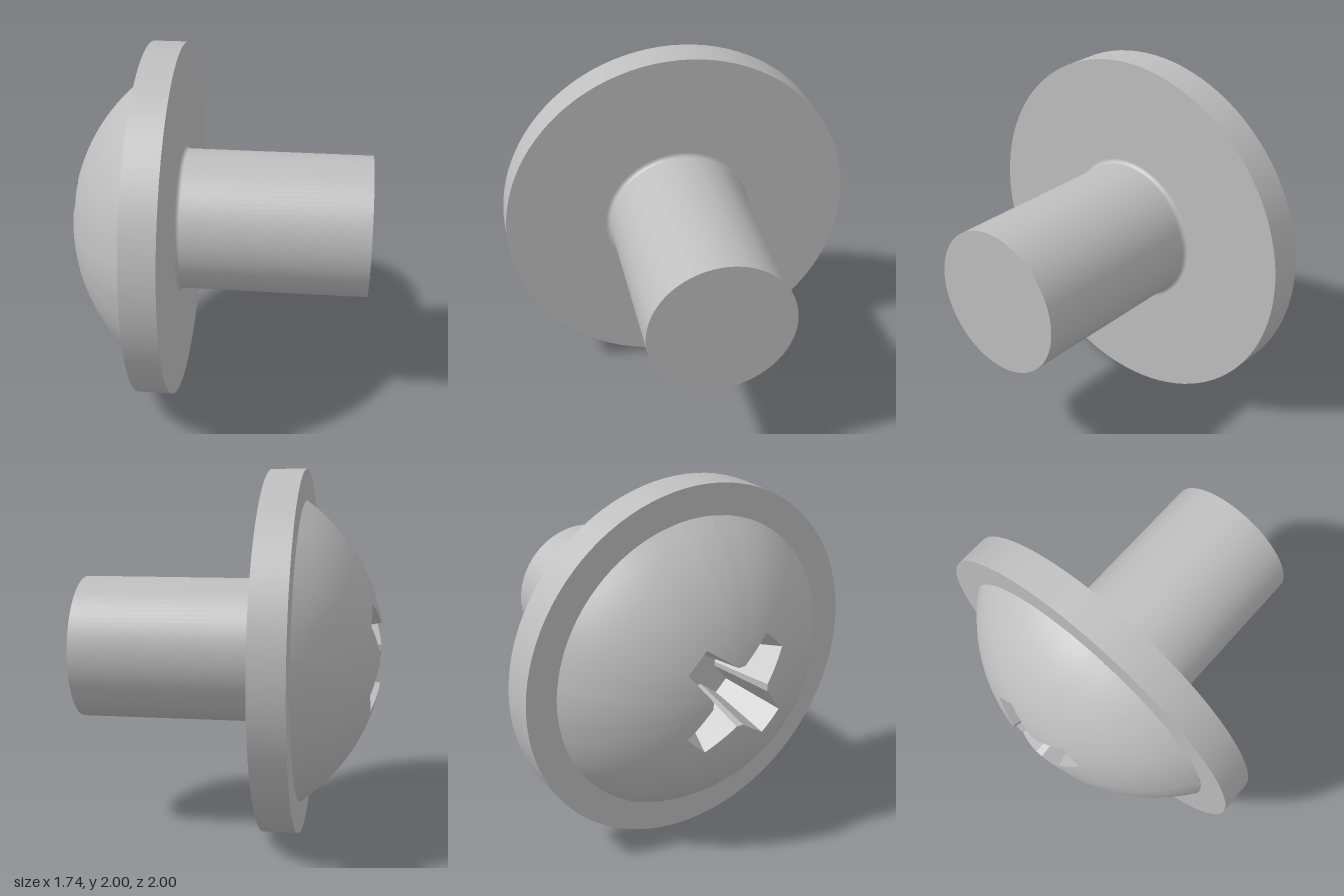
import * as THREE from 'three';

const R = 1.016, HEIGHT = 0.43, BASE = 0.83; // dome sphere, dome height, dome base radius
const FLANGE = 0.19, END = -1.25;            // flange thickness, shaft end
const FLOOR = 0.05, TAPER = 1.18;            // recess floor height and wall draft

const domeY = (r) => Math.sqrt(R * R - r * r) - (R - HEIGHT);

// Joins closed rings of equal length, from the innermost outwards
function loft(rings) {
  const n = rings[0].length, index = [];
  for (let k = 0; k < rings.length - 1; k++) {
    for (let i = 0; i < n; i++) {
      const j = (i + 1) % n;
      const a = k * n + i, b = k * n + j, c = a + n, d = b + n;
      index.push(a, b, c, b, d, c);
    }
  }
  const g = new THREE.BufferGeometry();
  g.setAttribute('position', new THREE.Float32BufferAttribute(rings.flat(2), 3));
  g.setIndex(index);
  return g;
}

// Cross-shaped recess outline with tapered arms on the diagonals
function crossOutline() {
  const corners = [];
  for (let q = 0; q < 4; q++) {
    for (let [x, z] of [[0.165, -0.02], [0.165, 0.02], [0.3, 0.19], [0.19, 0.3]]) {
      for (let t = 0; t < q; t++) [x, z] = [-z, x];
      corners.push([x, z]);
    }
  }
  const points = [];
  corners.forEach(([x, z], i) => {
    const [nx, nz] = corners[(i + 1) % corners.length];
    for (let s = 0; s < 6; s++) points.push([x + (nx - x) * s / 6, z + (nz - z) * s / 6]);
  });
  return points;
}

export function createModel() {
  const metal = new THREE.MeshStandardMaterial({ color: 0xbebebe });
  metal.name = 'grey metal';
  const screw = new THREE.Group();
  screw.name = 'screw';

  const add = (name, geometry) => {
    const mesh = new THREE.Mesh(geometry, metal);
    mesh.name = name;
    screw.add(mesh);
  };
  const revolve = (name, profile) =>
    add(name, new THREE.LatheGeometry(profile.map(([r, y]) => new THREE.Vector2(r, y)), 96));

  // Shaft with a small fillet where it meets the flange
  const fillet = 0.025, shaft = [[0.4, END]];
  for (let i = 0; i <= 6; i++) {
    const a = i / 6 * Math.PI / 2;
    shaft.push([0.4 + fillet * (1 - Math.cos(a)), -FLANGE - fillet * (1 - Math.sin(a))]);
  }
  revolve('shaftEnd', [[0, END], [0.4, END]]);
  revolve('shaft', shaft);

  // Flange
  revolve('flangeUnderside', [[0.4 + fillet, -FLANGE], [1, -FLANGE]]);
  revolve('flangeRim', [[1, -FLANGE], [1, 0]]);
  revolve('flangeTop', [[1, 0], [BASE, 0]]);

  // Recess edge: where the drafted walls meet the dome
  const outline = crossOutline();
  const rim = outline.map(([x, z]) => {
    let s = 1;
    for (let i = 0; i < 5; i++) s = 1 + TAPER * (domeY(s * Math.hypot(x, z)) - 0.39);
    return [x * s, domeY(s * Math.hypot(x, z)), z * s];
  });

  // Dome from the recess edge out to its base
  const domeRings = [];
  for (let k = 0; k <= 16; k++) {
    domeRings.push(rim.map(([x, , z]) => {
      const r0 = Math.hypot(x, z), r = r0 + (BASE - r0) * k / 16;
      return [x / r0 * r, domeY(r), z / r0 * r];
    }));
  }
  const dome = loft(domeRings);
  dome.computeVertexNormals();
  add('dome', dome);

  // Recess floor and drafted walls
  const s = 1 + TAPER * (FLOOR - 0.39);
  const floor = outline.map(([x, z]) => [x * s, FLOOR, z * s]);
  const addFlat = (name, rings) => {
    const g = loft(rings).toNonIndexed();
    g.computeVertexNormals();
    add(name, g);
  };
  addFlat('recessFloor', [floor.map(() => [0, FLOOR, 0]), floor]);
  addFlat('recessWalls', [floor, rim]);

  // Lay the screw on its side, turned ten degrees
  screw.rotation.set(0, THREE.MathUtils.degToRad(10), Math.PI / 2);
  screw.position.set(-0.43, 1, 0.012);

  const model = new THREE.Group();
  model.name = 'domedScrew';
  model.add(screw);
  return model;
}
